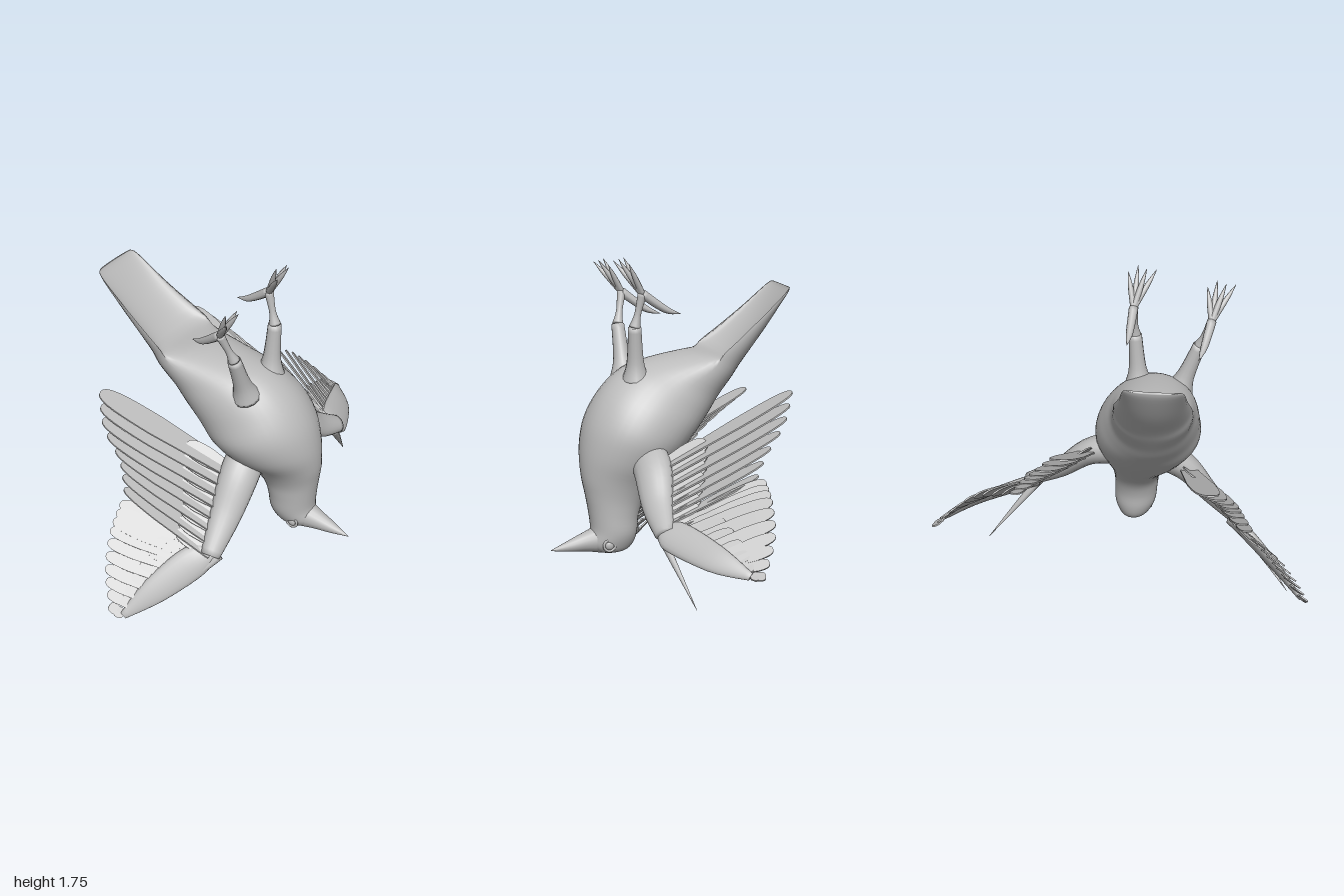
import * as THREE from 'three';

const V = (a) => new THREE.Vector3(a[0], a[1], a[2]);
const plumage = new THREE.MeshStandardMaterial({ color: 0xbcbcbc });
plumage.name = 'plain grey';

function add(parent, name, geometry) {
  const mesh = new THREE.Mesh(geometry, plumage);
  mesh.name = name;
  parent.add(mesh);
  return mesh;
}

// Closed smooth skin over a list of rings, capped at both ends
function loft(rings) {
  const n = rings[0].length, pos = [], idx = [];
  rings.forEach((r) => r.forEach((p) => pos.push(p.x, p.y, p.z)));
  for (let i = 0; i < rings.length - 1; i++) {
    for (let j = 0; j < n; j++) {
      const k = (j + 1) % n, a = i * n + j, b = i * n + k;
      idx.push(a, b, a + n, b, b + n, a + n);
    }
  }
  [0, rings.length - 1].forEach((i) => {
    const c = new THREE.Vector3();
    rings[i].forEach((p) => c.addScaledVector(p, 1 / n));
    const m = pos.length / 3;
    pos.push(c.x, c.y, c.z);
    for (let j = 0; j < n; j++) {
      const a = i * n + j, b = i * n + (j + 1) % n;
      if (i === 0) idx.push(m, b, a); else idx.push(m, a, b);
    }
  });
  const g = new THREE.BufferGeometry();
  g.setAttribute('position', new THREE.Float32BufferAttribute(pos, 3));
  g.setIndex(idx);
  g.computeVertexNormals();
  return g;
}

// Catmull-Rom sample of a table of rows
function sampleRow(rows, s) {
  const i = Math.min(Math.floor(s), rows.length - 2), t = s - i;
  const at = (k) => rows[Math.max(0, Math.min(rows.length - 1, k))];
  return rows[i].map((p1, c) => {
    const p0 = at(i - 1)[c], p2 = at(i + 1)[c], p3 = at(i + 2)[c];
    return p1 + 0.5 * t * (p2 - p0 + t * (2 * p0 - 5 * p1 + 4 * p2 - p3 + t * (3 * (p1 - p2) + p3 - p0)));
  });
}

// Tapered limb; rows are [x, y, z, radius along side, radius across it]
function limb(rows, side = [0, 0, 1], sides = 14, steps = 5) {
  const curve = new THREE.CatmullRomCurve3(rows.map(V));
  const rings = [], total = (rows.length - 1) * steps;
  for (let i = 0; i <= total; i++) {
    const row = sampleRow(rows, i / steps);
    const T = curve.getTangent(i / total);
    const u = V(side).addScaledVector(T, -V(side).dot(T)).normalize();
    const v = T.clone().cross(u);
    const a = Math.max(row[3], 0.001), b = Math.max(row[4] ?? row[3], 0.001);
    rings.push(Array.from({ length: sides }, (_, j) => {
      const t = j / sides * Math.PI * 2;
      return V(row).addScaledVector(u, a * Math.cos(t)).addScaledVector(v, b * Math.sin(t));
    }));
  }
  return loft(rings);
}

// Body rows: centre x, half width, belly y, belly z, back y, back z, hollow of the tail
const bodyRows = [
  [-0.035, 0.005, 0.23, 0.36, 0.23, 0.34, 0],
  [-0.035, 0.06, 0.245, 0.43, 0.245, 0.27, 0],
  [-0.04, 0.09, 0.29, 0.47, 0.28, 0.23, 0],
  [-0.045, 0.11, 0.36, 0.455, 0.34, 0.21, 0],
  [-0.05, 0.115, 0.46, 0.465, 0.42, 0.2, 0],
  [-0.055, 0.125, 0.55, 0.48, 0.5, 0.17, 0],
  [-0.07, 0.16, 0.65, 0.495, 0.58, 0.11, 0],
  [-0.1, 0.23, 0.78, 0.49, 0.66, 0.03, 0],
  [-0.12, 0.275, 0.92, 0.455, 0.75, -0.06, 0],
  [-0.13, 0.265, 1.05, 0.38, 0.84, -0.14, 0],
  [-0.15, 0.24, 1.15, 0.27, 0.92, -0.21, 0],
  [-0.165, 0.215, 1.2, 0.14, 1.0, -0.27, 0],
  [-0.178, 0.2, 1.245, -0.1, 1.1, -0.35, 0.15],
  [-0.183, 0.19, 1.275, -0.27, 1.18, -0.41, 0.85],
  [-0.2, 0.165, 1.4, -0.46, 1.34, -0.54, 1],
  [-0.213, 0.145, 1.53, -0.62, 1.5, -0.645, 1],
  [-0.213, 0.12, 1.555, -0.65, 1.55, -0.665, 1],
];

function bodyGeometry() {
  const rings = [], steps = 4, sides = 40;
  for (let i = 0; i <= (bodyRows.length - 1) * steps; i++) {
    const [x, w, by, bz, ay, az, hollow] = sampleRow(bodyRows, i / steps);
    rings.push(Array.from({ length: sides }, (_, j) => {
      const t = j / sides * Math.PI * 2, c = Math.cos(t);
      const f = THREE.MathUtils.lerp(0.5 + 0.5 * c, c > 0 ? 1 - 0.5 * c : 1 + c, hollow);
      return new THREE.Vector3(x + w * Math.sin(t), ay + (by - ay) * f, az + (bz - az) * f);
    }));
  }
  return loft(rings);
}

// Thin round-tipped blade from root to tip, its width lying near the given direction
function feather(root, tip, width, across, tilt) {
  const d = tip.clone().sub(root), L = d.length(), w = width / 2;
  d.normalize();
  const s = new THREE.Shape();
  s.moveTo(-w * 0.6, 0);
  s.lineTo(w * 0.6, 0);
  s.lineTo(w, L * 0.6);
  s.bezierCurveTo(w, L * 0.9, w * 0.8, L, 0, L);
  s.bezierCurveTo(-w * 0.8, L, -w, L * 0.9, -w, L * 0.6);
  const g = new THREE.ExtrudeGeometry(s, { depth: 0.008, bevelEnabled: false, curveSegments: 8 });
  g.translate(0, 0, -0.004);
  g.rotateY(tilt);
  const x = across.clone().addScaledVector(d, -across.dot(d)).normalize();
  const m = new THREE.Matrix4().makeBasis(x, d, x.clone().cross(d)).setPosition(root);
  return g.applyMatrix4(m);
}

// Feathers spread between a root line and a tip line; reach shortens them
function featherRow(parent, name, rootRows, tipRows, { count, w0, w1, across, tilt = 0, reach = 1 }) {
  const roots = new THREE.CatmullRomCurve3(rootRows.map(V));
  const tips = new THREE.CatmullRomCurve3(tipRows.map(V));
  const along = across ?? V(rootRows[rootRows.length - 1]).sub(V(rootRows[0])).normalize();
  for (let i = 0; i < count; i++) {
    const t = i / (count - 1), root = roots.getPoint(t);
    const tip = root.clone().lerp(tips.getPoint(t), reach);
    add(parent, name, feather(root, tip, w0 + (w1 - w0) * t, along, tilt));
  }
}

function wing(name, p) {
  const g = new THREE.Group();
  g.name = name;
  const roots = p.arm.slice(1), flat = new THREE.Vector3(1, 0, 0);
  add(g, 'upperArm', limb(p.arm, p.armSide, 20));
  add(g, 'hand', limb(p.hand, p.handSide, 20));
  // inner feathers lie level like louvres, outer ones follow the hand
  featherRow(g, 'innerFeather', roots, p.innerTips, { count: 8, w0: 0.14, w1: 0.075, across: flat });
  featherRow(g, 'outerFeather', p.hand, p.outerTips, { count: 10, w0: 0.09, w1: 0.055, tilt: 0.25 });
  // shorter feathers covering the roots
  featherRow(g, 'innerCovert', roots, p.innerTips, { count: 8, w0: 0.1, w1: 0.08, tilt: 0.2, reach: 0.38 });
  featherRow(g, 'outerCovert', p.hand, p.outerTips, { count: 9, w0: 0.09, w1: 0.06, tilt: 0.2, reach: 0.5 });
  add(g, 'wingSpike', limb(p.spike, [0, 0, 1], 8));
  return g;
}

const leftWing = {
  arm: [[0.03, 0.75, 0.17, 0.1, 0.09], [0.19, 0.7, 0.19, 0.1, 0.07], [0.35, 0.57, 0.22, 0.08, 0.05], [0.52, 0.48, 0.24, 0.05, 0.035]],
  armSide: [0, 0.6, -0.8],
  hand: [[0.48, 0.47, 0.24, 0.04, 0.03], [0.55, 0.47, 0.2, 0.085, 0.032], [0.8, 0.42, 0.08, 0.07, 0.022], [0.96, 0.37, -0.04, 0.02, 0.01]],
  handSide: [0.2, 0.5, -0.8],
  innerTips: [[0.255, 1.08, -0.53], [0.36, 0.95, -0.45], [0.45, 0.8, -0.31], [0.53, 0.67, -0.22]],
  outerTips: [[0.57, 0.71, -0.27], [0.73, 0.66, -0.24], [0.87, 0.53, -0.2], [0.98, 0.37, -0.11]],
  spike: [[0.47, 0.47, 0.25, 0.025], [0.58, 0.34, 0.21, 0.016], [0.74, 0.15, 0.15, 0.001]],
};
const rightWing = {
  arm: [[-0.2, 0.73, 0.17, 0.1, 0.09], [-0.33, 0.63, 0.19, 0.1, 0.07], [-0.46, 0.47, 0.2, 0.08, 0.05], [-0.61, 0.31, 0.21, 0.05, 0.035]],
  armSide: [-0.2, 0.5, -0.8],
  hand: [[-0.57, 0.31, 0.21, 0.04, 0.03], [-0.66, 0.27, 0.14, 0.085, 0.032], [-0.83, 0.14, 0.02, 0.07, 0.022], [-0.965, 0.02, -0.08, 0.02, 0.01]],
  handSide: [-0.2, 0.6, -0.8],
  innerTips: [[-0.49, 0.94, -0.56], [-0.58, 0.83, -0.47], [-0.62, 0.69, -0.34], [-0.67, 0.56, -0.28]],
  outerTips: [[-0.71, 0.49, -0.28], [-0.82, 0.4, -0.26], [-0.92, 0.24, -0.22], [-0.985, 0.07, -0.15]],
  spike: [[-0.57, 0.3, 0.24, 0.025], [-0.74, 0.16, 0.12, 0.016], [-0.89, 0.03, -0.03, 0.001]],
};

// Leg from hip to knee to ankle, with forward toes and one hind toe
function leg(name, hip, knee, ankle, fan, hind) {
  const g = new THREE.Group();
  g.name = name;
  const mid = V(hip).lerp(V(knee), 0.35).toArray();
  add(g, 'thigh', limb([[...hip, 0.075], [...mid, 0.045], [...knee, 0.034]]));
  add(g, 'shin', limb([[...knee, 0.03], [...V(knee).lerp(V(ankle), 0.4).toArray(), 0.017], [...ankle, 0.024]]));
  const toe = (tip, r, sag) => {
    const m = V(ankle).lerp(V(tip), 0.6);
    return limb([[...ankle, r], [m.x, m.y - sag, m.z, r * 0.75], [...tip, 0.001]], [1, 0, 0], 8);
  };
  for (let i = 0; i < 4; i++) {
    const s = i / 3 - 0.5;
    add(g, 'frontToe', toe([fan[0] + s * 0.14, fan[1] - Math.abs(s) * 0.06, fan[2] + 0.01 - i % 2 * 0.04], 0.017, 0));
  }
  add(g, 'hindToe', toe(hind, 0.024, 0.018));
  return g;
}

export function createModel() {
  const bird = new THREE.Group();
  bird.name = 'bird';
  add(bird, 'bodyAndTail', bodyGeometry());

  // Beak and eyes
  add(bird, 'beak', limb([[-0.04, 0.305, 0.41, 0.075, 0.07], [-0.04, 0.295, 0.49, 0.05, 0.048],
    [-0.037, 0.282, 0.57, 0.03, 0.03], [-0.035, 0.268, 0.67, 0.002, 0.002]], [0, 1, 0], 16));
  [-1, 1].forEach((s) => {
    const eye = add(bird, s > 0 ? 'leftEye' : 'rightEye', new THREE.SphereGeometry(0.024, 16, 12));
    eye.scale.x = 0.6;
    eye.position.set(-0.04 + s * 0.083, 0.29, 0.38);
    const rim = add(bird, 'eyeRim', new THREE.TorusGeometry(0.03, 0.007, 8, 20));
    rim.rotation.y = Math.PI / 2;
    rim.position.set(-0.04 + s * 0.085, 0.29, 0.38);
  });

  bird.add(wing('leftWing', leftWing), wing('rightWing', rightWing));
  bird.add(leg('leftLeg', [-0.07, 1.12, 0.2], [-0.05, 1.4, 0.21], [-0.045, 1.57, 0.17], [-0.08, 1.76, 0.28], [-0.03, 1.46, -0.03]));
  bird.add(leg('rightLeg', [-0.28, 1.1, 0.2], [-0.38, 1.36, 0.2], [-0.44, 1.52, 0.16], [-0.48, 1.7, 0.27], [-0.39, 1.4, -0.04]));
  return bird;
}
